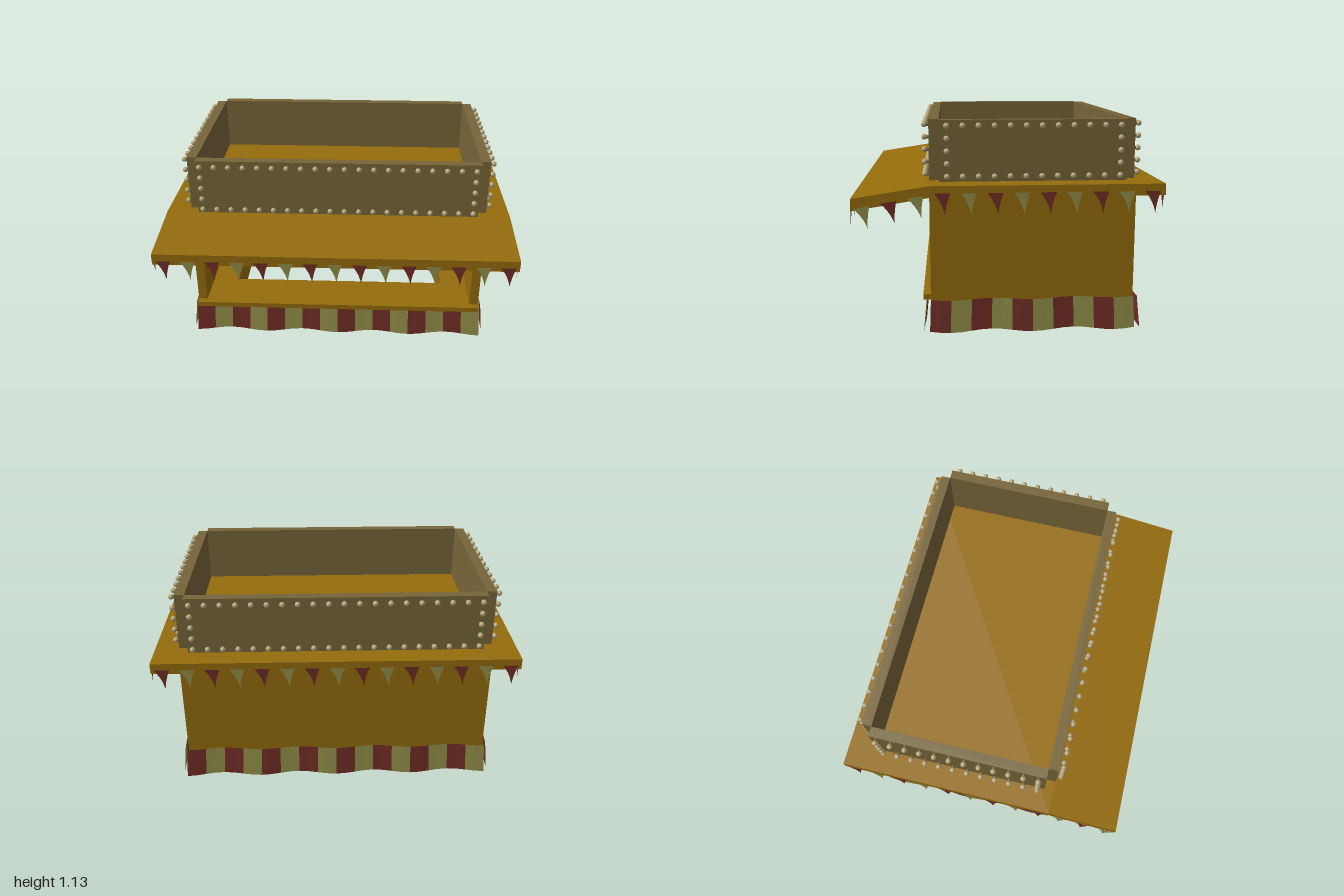
import * as THREE from 'three';

const mat = (color, side = THREE.FrontSide) => new THREE.MeshStandardMaterial({ color, side, flatShading: true });

export function createModel() {
  const wood = mat(0x956c0c), board = mat(0x776539);
  const red = mat(0x6f2c24, THREE.DoubleSide), tan = mat(0x908c48, THREE.DoubleSide);
  const glass = new THREE.MeshStandardMaterial({ color: 0xb5a57a });
  const root = new THREE.Group();
  root.name = 'marketStall';

  const add = (parent, name, geometry, material) => {
    const mesh = new THREE.Mesh(geometry, material);
    mesh.name = name;
    parent.add(mesh);
    return mesh;
  };
  // Box given by its limits on each axis
  const box = (name, material, x0, x1, y0, y1, z0, z1) =>
    add(root, name, new THREE.BoxGeometry(x1 - x0, y1 - y0, z1 - z0), material)
      .position.set((x0 + x1) / 2, (y0 + y1) / 2, (z0 + z1) / 2);

  // Walls
  const X = 0.86, ZB = -0.68, ZF = 0.41, ZC = (ZB + ZF) / 2, T = 0.053;
  box('backWall', wood, -X, X, 0.18, 0.76, ZB, ZB + T);
  box('rightWall', wood, -X, -X + T, 0.18, 0.76, ZB + T, ZF);
  box('leftWall', wood, X - T, X, 0.18, 0.76, ZB + T, ZF);

  // Base and counter: rectangular rings around an open middle
  const ring = (name, y0, y1, zFront) => {
    const s = new THREE.Shape([[-X, -zFront], [X, -zFront], [X, -ZB], [-X, -ZB]].map(p => new THREE.Vector2(...p)));
    s.holes.push(new THREE.Path([[-0.65, -0.18], [-0.65, 0.45], [0.65, 0.45], [0.65, -0.18]].map(p => new THREE.Vector2(...p))));
    const g = new THREE.ExtrudeGeometry(s, { depth: y1 - y0, bevelEnabled: false });
    g.rotateX(-Math.PI / 2);
    add(root, name, g, wood).position.y = y0;
  };
  ring('base', 0.012, 0.18, ZF);
  ring('counter', 0.18, 0.21, 0.45);

  // Roof: flat slab whose front part slopes down as an awning
  const roofProfile = new THREE.Shape([[-0.8, 0.755], [0.41, 0.755], [0.8, 0.692], [0.8, 0.755], [0.41, 0.815], [-0.8, 0.815]]
    .map(p => new THREE.Vector2(...p)));
  const roof = new THREE.ExtrudeGeometry(roofProfile, { depth: 1.98, bevelEnabled: false });
  roof.rotateY(-Math.PI / 2);
  roof.translate(0.99, 0, 0);
  add(root, 'roof', roof, wood);

  // Four sign boards standing on the roof
  box('frontBoard', board, -0.805, 0.805, 0.81, 1.135, ZF - T, ZF);
  box('backBoard', board, -0.805, 0.805, 0.81, 1.135, ZB, ZB + T);
  box('leftBoard', board, 0.805, X, 0.81, 1.135, ZB + T, ZF - T);
  box('rightBoard', board, -X, -0.805, 0.81, 1.135, ZB + T, ZF - T);

  // Group on one side of the stall; its local +z points outward
  const sideGroup = (name, angle, x, z) => {
    const g = new THREE.Group();
    g.name = name;
    g.rotation.y = angle;
    g.position.set(x, 0, z);
    root.add(g);
    return g;
  };

  // Light bulbs around the edge of each board
  const bulbGeo = new THREE.SphereGeometry(0.0155, 10, 8);
  const stemGeo = new THREE.CylinderGeometry(0.009, 0.009, 0.022, 8).rotateX(Math.PI / 2);
  const bulbs = (group, half, count) => {
    for (let i = 0; i < count; i++) {
      for (let j = 0; j < 5; j++) {
        if (i > 0 && i < count - 1 && j > 0 && j < 4) continue;
        const x = -half + 2 * half * i / (count - 1), y = 0.845 + 0.0655 * j;
        add(group, 'bulb', bulbGeo, glass).position.set(x, y, 0.023);
        add(group, 'bulbStem', stemGeo, board).position.set(x, y, 0.009);
      }
    }
  };

  // Striped cloth skirt: flared, gently waving strips
  const skirt = (group, length, count) => {
    const w = length / count;
    for (let i = 0; i < count; i++) {
      const g = new THREE.PlaneGeometry(w, 0.17, 2, 1);
      g.translate(-length / 2 + (i + 0.5) * w, 0.097, 0);
      const p = g.attributes.position;
      for (let k = 0; k < p.count; k++) {
        const x = p.getX(k), low = p.getY(k) < 0.1;
        const wave = Math.cos(x * 14.4);
        p.setX(k, x * (low ? 1.012 : 1));
        p.setY(k, p.getY(k) - wave * (low ? 0.008 : 0.004));
        p.setZ(k, (low ? 0.034 : 0.017) + 0.006 * wave);
      }
      g.computeVertexNormals();
      add(group, 'skirtStripe', g, i % 2 ? tan : red);
    }
  };

  const H = Math.PI / 2;
  [['front', 0, 0, ZF, 0.775, 20, 1.73, 16], ['left', H, X, ZC, 0.452, 12, 1.09, 10],
    ['back', 2 * H, 0, ZB, 0.775, 20, 1.73, 16], ['right', -H, -X, ZC, 0.452, 12, 1.09, 10]]
    .forEach(([name, angle, x, z, half, n, length, stripes]) => {
      bulbs(sideGroup(name + 'Bulbs', angle, x, z), half, n);
      skirt(sideGroup(name + 'Skirt', angle, x, z), length, stripes);
    });

  // Bunting flag: a triangle with curved edges, its tip curling outward
  const flagShape = new THREE.Shape();
  flagShape.moveTo(-0.041, 0);
  flagShape.quadraticCurveTo(0.002, -0.055, 0.012, -0.113);
  flagShape.quadraticCurveTo(0.02, -0.05, 0.041, 0);
  const flagGeo = new THREE.ShapeGeometry(flagShape, 5);
  const fp = flagGeo.attributes.position;
  for (let k = 0; k < fp.count; k++) fp.setZ(k, 0.4 * fp.getY(k) ** 2);
  flagGeo.computeVertexNormals();
  const flag = (group, x, y, i, tilt = 0) => {
    const f = add(group, 'flag', flagGeo, i % 2 ? tan : red);
    f.position.set(x, y, 0.003);
    f.rotation.z = tilt;
  };

  // Front and back bunting
  const frontBunting = sideGroup('frontBunting', 0, 0, 0.8);
  const backBunting = sideGroup('backBunting', 2 * H, 0, -0.8);
  for (let i = 0; i < 15; i++) {
    const x = (i - 7) * 0.133;
    flag(frontBunting, x, 0.715, i);
    flag(backBunting, x, 0.778, i);
  }
  // Side bunting follows the slope of the awning
  for (const s of [1, -1]) {
    const g = sideGroup(s > 0 ? 'leftBunting' : 'rightBunting', s * H, s * 0.99, 0);
    for (let i = 0; i < 12; i++) {
      const z = 0.745 - 0.1345 * i;
      const sloped = z > 0.41;
      flag(g, -s * z, sloped ? 0.778 - (z - 0.38) * 0.18 : 0.778, i + 1, sloped ? s * 0.16 : 0);
    }
  }
  return root;
}
